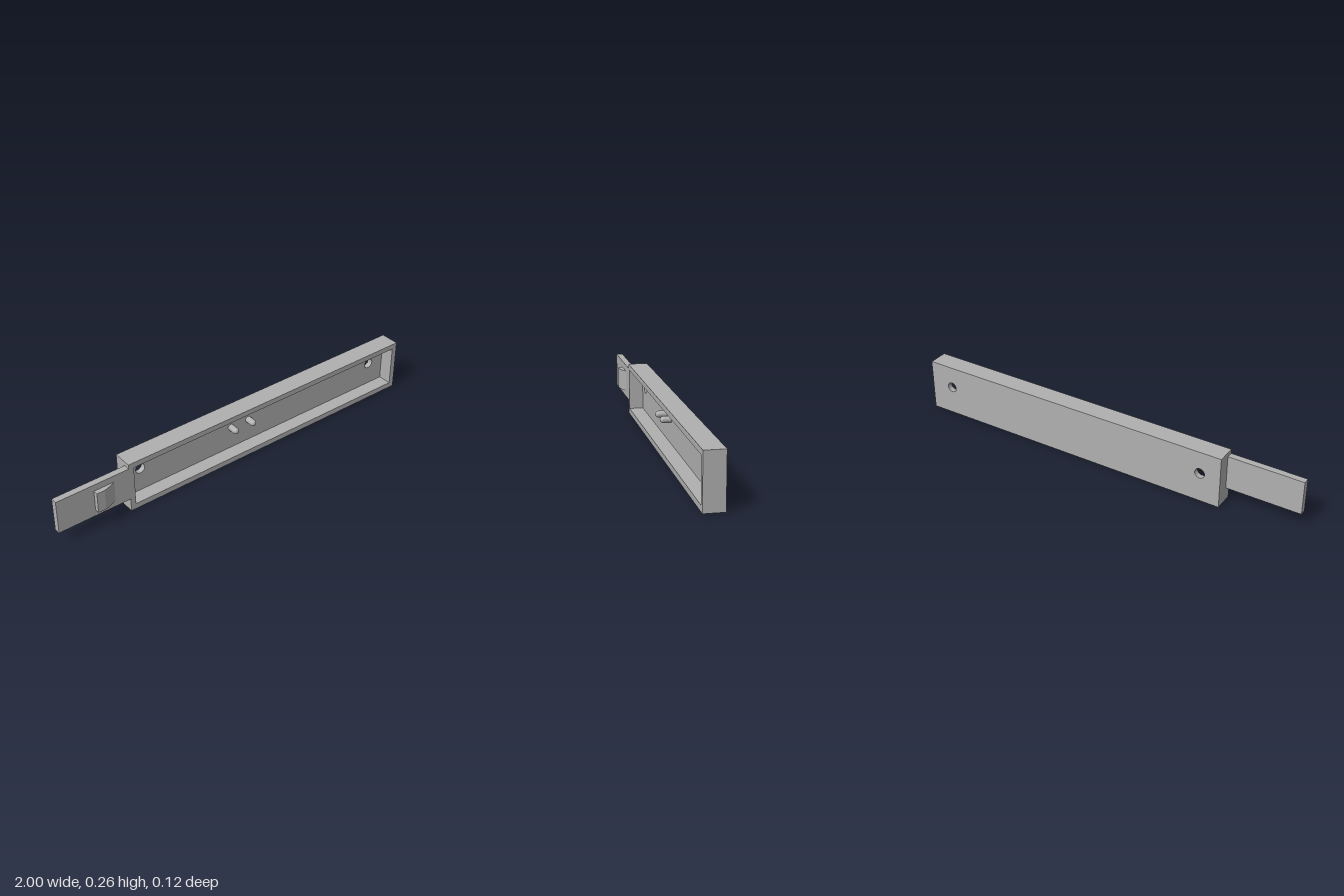
import * as THREE from 'three';

const FRONT = 0.037, BACK = -0.06, FLOOR = -0.033;

// Rectangle drawn as a Shape or Path
function rect(path, x0, y0, x1, y1) {
  path.moveTo(x0, y0);
  path.lineTo(x1, y0);
  path.lineTo(x1, y1);
  path.lineTo(x0, y1);
  path.closePath();
  return path;
}

export function createModel() {
  const group = new THREE.Group();
  const grey = new THREE.MeshStandardMaterial({ color: 0xb0b0b0 });
  grey.name = 'grey';

  function add(name, geometry) {
    const mesh = new THREE.Mesh(geometry, grey);
    mesh.name = name;
    group.add(mesh);
    return mesh;
  }
  function extrude(shape, z0, z1) {
    return new THREE.ExtrudeGeometry(shape, { depth: z1 - z0, bevelEnabled: false, curveSegments: 24 })
      .translate(0, 0, z0);
  }

  // Back plate with two screw holes
  const plate = rect(new THREE.Shape(), -0.63, 0, 1, 0.26);
  for (const x of [-0.527, 0.88]) {
    plate.holes.push(new THREE.Path().absarc(x, 0.148, 0.025, 0, Math.PI * 2, true));
  }
  add('backPlate', extrude(plate, BACK, FLOOR));

  // Raised rim around the open tray
  const rim = rect(new THREE.Shape(), -0.63, 0, 1, 0.26);
  rim.holes.push(rect(new THREE.Path(), -0.603, 0.028, 0.973, 0.233));
  add('rim', extrude(rim, FLOOR, FRONT));

  // Thin tongue, flush with the front of the rim
  add('tongue', extrude(rect(new THREE.Shape(), -1, 0.068, -0.63, 0.238), 0.005, FRONT));

  // Snap catch: side profile in x and z, extruded upwards
  const profile = new THREE.Shape();
  profile.moveTo(-0.812, -FRONT);
  profile.lineTo(-0.812, -0.061);
  profile.lineTo(-0.772, -0.061);
  profile.quadraticCurveTo(-0.738, -0.053, -0.708, -FRONT);
  profile.closePath();
  const catchGeometry = new THREE.ExtrudeGeometry(profile, { depth: 0.105, bevelEnabled: false, curveSegments: 12 });
  add('catch', catchGeometry.rotateX(-Math.PI / 2).translate(0, 0.1, 0));

  // Two round-ended pins on the tray floor
  const r = 0.016, tip = 0.02;
  const points = [new THREE.Vector2(r, FLOOR)];
  for (let i = 0; i <= 8; i++) {
    const a = (i / 8) * Math.PI / 2;
    points.push(new THREE.Vector2(r * Math.cos(a), tip - r + r * Math.sin(a)));
  }
  for (const x of [-0.01, 0.094]) {
    add('pin', new THREE.LatheGeometry(points, 24).rotateX(Math.PI / 2)).position.set(x, 0.146, 0);
  }

  return group;
}
